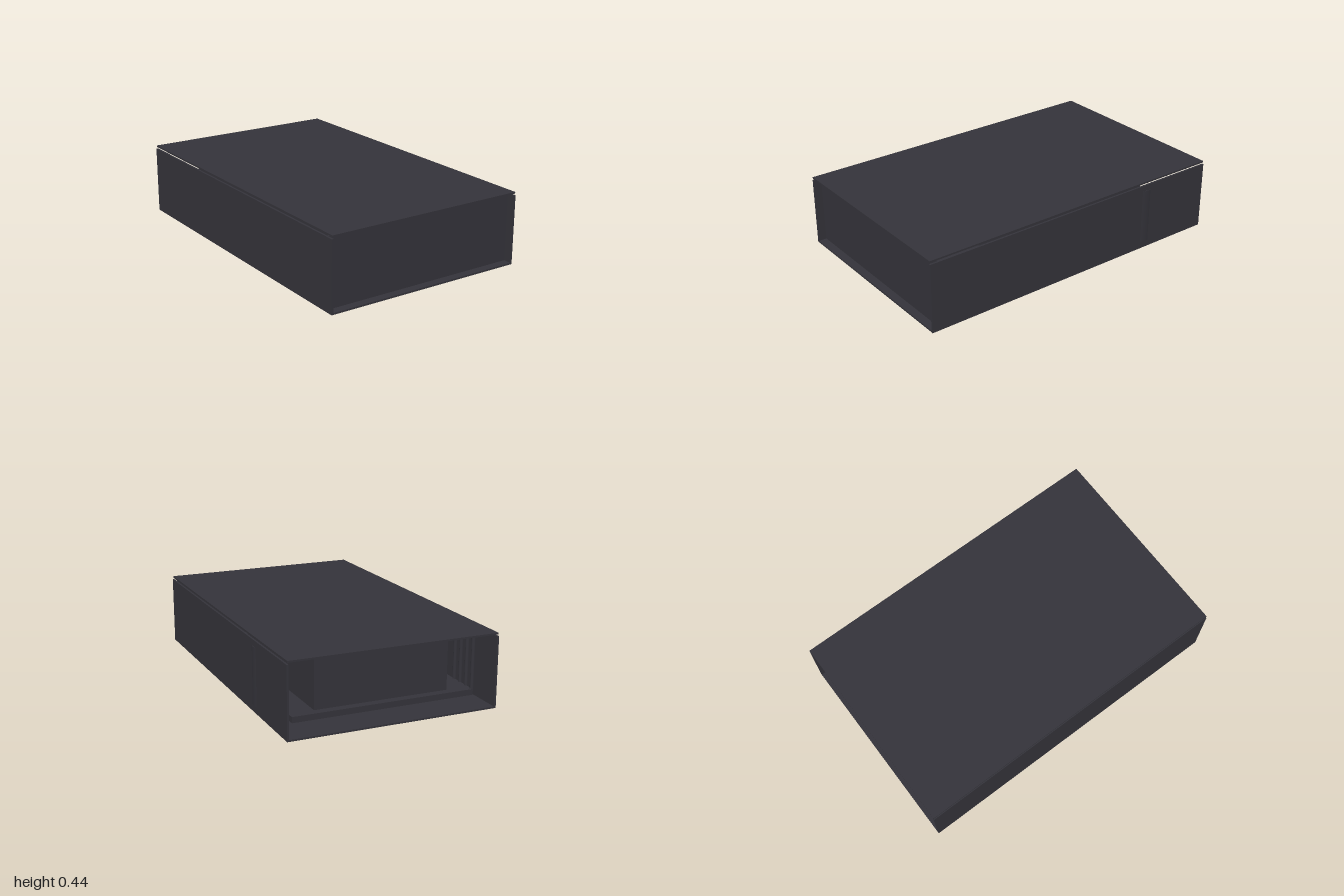
import * as THREE from 'three';

export function createModel() {
  const model = new THREE.Group();
  const charcoal = new THREE.MeshStandardMaterial({ color: 0x34333a });
  charcoal.name = 'charcoal';

  // Box given by its lower and upper limits on each axis
  const box = (name, [x0, x1], [y0, y1], [z0, z1]) => {
    const mesh = new THREE.Mesh(new THREE.BoxGeometry(x1 - x0, y1 - y0, z1 - z0), charcoal);
    mesh.position.set((x0 + x1) / 2, (y0 + y1) / 2, (z0 + z1) / 2);
    mesh.name = name;
    model.add(mesh);
  };

  // Upright rounded slat, flattened across x
  const slat = (name, x, z, halfX, halfZ) => {
    const mesh = new THREE.Mesh(new THREE.CylinderGeometry(1, 1, 0.34, 20), charcoal);
    mesh.scale.set(halfX, 1, halfZ);
    mesh.position.set(x, 0.21, z);
    mesh.name = name;
    model.add(mesh);
  };

  // Case shell: floor, side walls, recessed front, floating lid, open back
  box('floor', [-0.617, 0.615], [0, 0.01], [-1, 1]);
  box('rightWall', [-0.628, -0.616], [0, 0.417], [-1, 1]);
  box('leftWall', [0.614, 0.625], [0, 0.417], [-1, 1]);
  box('frontPanel', [-0.617, 0.615], [0.01, 0.417], [0.94, 0.95]);
  box('lid', [-0.624, 0.621], [0.427, 0.437], [-1, 1]);

  // Inner tray with the large unit on it
  box('innerTray', [-0.61, 0.51], [0.01, 0.045], [-0.785, 0.8]);
  box('innerUnit', [-0.465, 0.36], [0.045, 0.37], [-0.735, 0.3]);

  // Vertical ribs on the inside of both walls
  for (const side of [-1, 1]) {
    for (let i = 0; i < 4; i++) {
      slat('wallRib', side * 0.612, -0.77 + i * 0.065, 0.012, 0.012);
    }
  }

  // Rounded slat showing through the left wall
  slat('sideSlat', 0.61, -0.527, 0.018, 0.056);

  return model;
}
